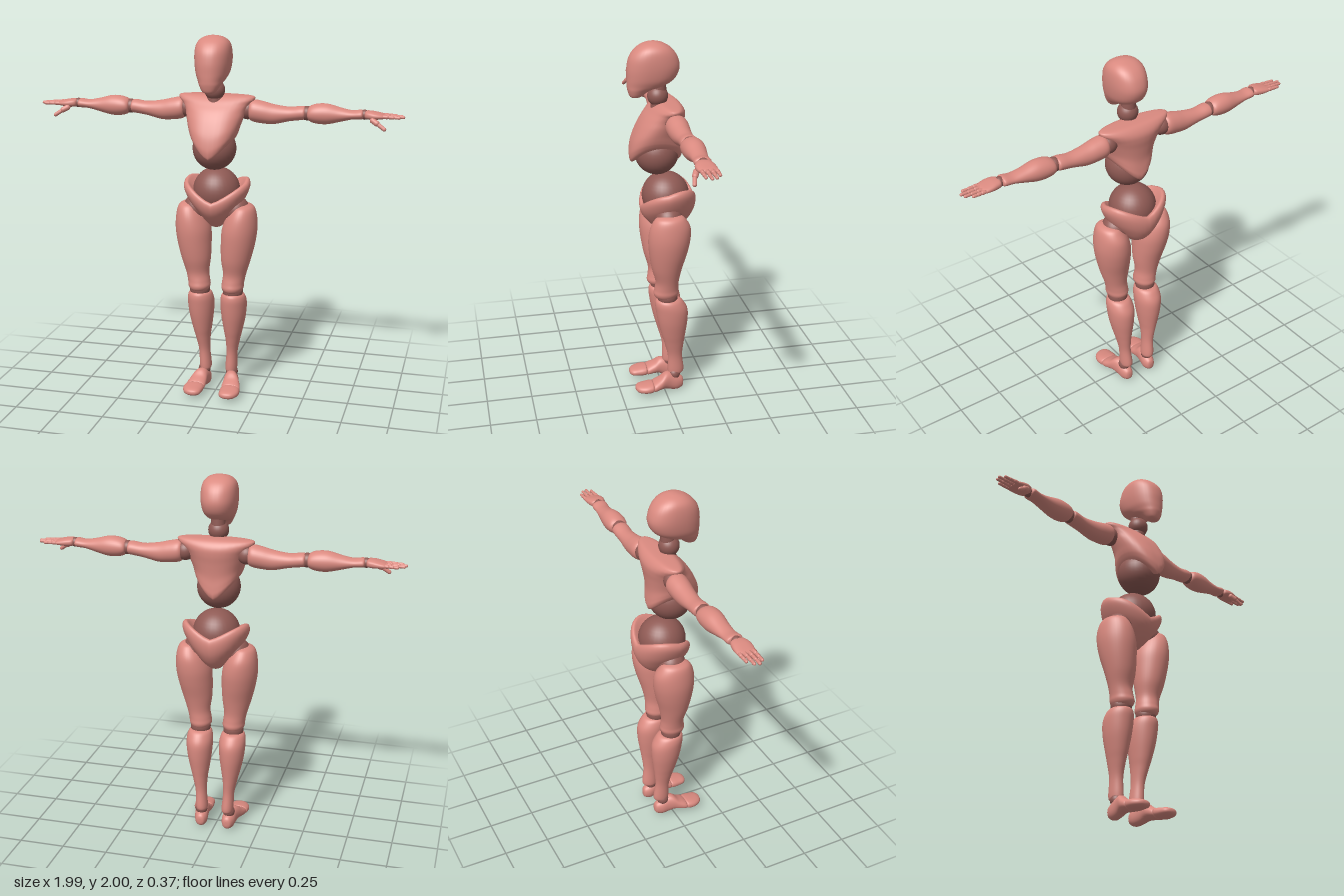
import * as THREE from 'three';

const skin = new THREE.MeshStandardMaterial({ color: 0xda8a80 });
skin.name = 'salmon shell';
const dark = new THREE.MeshStandardMaterial({ color: 0x8f5a54 });
dark.name = 'brown joint';

// Smooth closed loft. Each section: [position along axis, centre, half width, high side, low side]
// axis y: width in x, high/low in z; axis z: width in x, high/low in y; axis x: width in z, high/low in y
function loft(axis, sections, { power = 2, warp = null, steps = 5, sides = 36 } = {}) {
  const rows = [];
  const n = sections.length;
  const at = (i) => sections[Math.min(n - 1, Math.max(0, i))];
  for (let i = 0; i < n - 1; i++) {
    for (let s = 0; s < steps; s++) {
      const t = s / steps;
      rows.push(at(i).map((b, k) => {
        const a = at(i - 1)[k], c = at(i + 1)[k], d = at(i + 2)[k];
        return b + 0.5 * t * (c - a + t * (2 * a - 5 * b + 4 * c - d + t * (3 * (b - c) + d - a)));
      }));
    }
  }
  rows.push(at(n - 1));
  const pos = [], index = [];
  const put = (t, u, v) => {
    const p = axis === 'y' ? [u, t, v] : axis === 'z' ? [u, v, t] : [t, v, u];
    if (warp) warp(p);
    pos.push(...p);
  };
  const bend = (v) => Math.sign(v) * Math.abs(v) ** (2 / power);
  for (const [t, c, w, hi, lo] of rows) {
    for (let j = 0; j < sides; j++) {
      const a = (j / sides) * Math.PI * 2;
      put(t, c + w * bend(Math.cos(a)), (hi + lo) / 2 + ((hi - lo) / 2) * bend(Math.sin(a)));
    }
  }
  const tri = (a, b, c) => (axis === 'z' ? index.push(a, b, c) : index.push(a, c, b));
  for (let i = 0; i < rows.length - 1; i++) {
    for (let j = 0; j < sides; j++) {
      const k = (j + 1) % sides, a = i * sides;
      tri(a + j, a + k, a + sides + k);
      tri(a + j, a + sides + k, a + sides + j);
    }
  }
  // end caps
  const last = (rows.length - 1) * sides, first = rows.length * sides;
  for (const [t, c, , hi, lo] of [rows[0], rows[rows.length - 1]]) put(t, c, (hi + lo) / 2);
  for (let j = 0; j < sides; j++) {
    const k = (j + 1) % sides;
    tri(first, k, j);
    tri(first + 1, last + j, last + k);
  }
  const g = new THREE.BufferGeometry();
  g.setAttribute('position', new THREE.Float32BufferAttribute(pos, 3));
  g.setIndex(index);
  g.computeVertexNormals();
  return g;
}

const ball = (x, y, z, r, sy = 1) =>
  new THREE.SphereGeometry(r, 32, 20).scale(1, sy, 1).translate(x, y, z);

// Rounded finger segment between two points
function segment(a, b, r) {
  const d = b.clone().sub(a);
  const q = new THREE.Quaternion().setFromUnitVectors(new THREE.Vector3(0, 1, 0), d.clone().normalize());
  const m = a.clone().add(b).multiplyScalar(0.5);
  return new THREE.CapsuleGeometry(r, Math.max(0.002, d.length() - r * 1.2), 5, 12)
    .applyQuaternion(q).translate(m.x, m.y, m.z);
}

function mirrored(geometry) {
  const g = geometry.clone().scale(-1, 1, 1);
  const ix = g.index.array;
  for (let i = 0; i < ix.length; i += 3) [ix[i], ix[i + 1]] = [ix[i + 1], ix[i]];
  g.computeVertexNormals();
  return g;
}

export function createModel() {
  const model = new THREE.Group();
  model.name = 'jointedFigure';
  const add = (name, geometry, material = skin) => {
    const mesh = new THREE.Mesh(geometry, material);
    mesh.name = name;
    model.add(mesh);
  };
  const pair = (name, geometry, material = skin) => {
    add(name + 'Left', geometry, material);
    add(name + 'Right', mirrored(geometry), material);
  };

  // Head and neck
  add('head', loft('y', [
    [1.708, 0, 0.012, 0.155, 0.13], [1.718, 0, 0.035, 0.17, 0.105], [1.75, 0, 0.055, 0.181, 0.06],
    [1.775, 0, 0.07, 0.184, -0.02], [1.81, 0, 0.085, 0.185, -0.07], [1.865, 0, 0.094, 0.184, -0.092],
    [1.92, 0, 0.094, 0.172, -0.08], [1.96, 0, 0.085, 0.143, -0.052], [1.985, 0, 0.062, 0.107, -0.016],
    [1.997, 0, 0.03, 0.07, 0.02], [2.0, 0, 0.004, 0.049, 0.041]], { power: 2.25 }));
  add('neckBall', ball(0, 1.712, 0.022, 0.055), dark);
  add('neckPost', new THREE.CylinderGeometry(0.035, 0.045, 0.17, 24).translate(0, 1.725, 0.015), dark);

  // Chest shell, with its lower rim rising at the sides
  add('chest', loft('y', [
    [1.41, 0, 0.02, 0.05, 0.01], [1.365, 0, 0.085, 0.145, -0.075], [1.362, 0, 0.108, 0.167, -0.095],
    [1.385, 0, 0.122, 0.176, -0.105], [1.42, 0, 0.13, 0.176, -0.104], [1.48, 0, 0.14, 0.163, -0.1],
    [1.55, 0, 0.154, 0.133, -0.107], [1.6, 0, 0.165, 0.103, -0.115], [1.635, 0, 0.184, 0.073, -0.115],
    [1.662, 0, 0.206, 0.047, -0.102], [1.68, 0, 0.19, 0.02, -0.08], [1.684, 0, 0.06, -0.01, -0.05]], {
    power: 2.15,
    warp: (p) => {
      const t = Math.min(1, Math.max(0, (p[1] - 1.36) / 0.32));
      p[1] += 0.1 * (Math.abs(p[0]) / 0.11) ** 1.3 * (1 - t) ** 2.2;
    },
  }));
  add('upperBelly', ball(0, 1.402, 0.028, 0.117), dark);
  add('lowerBelly', ball(0, 1.162, -0.02, 0.128), dark);

  // Pelvis shell, with its upper rim rising at the sides and back
  add('pelvis', loft('y', [
    [0.957, 0, 0.008, -0.01, -0.03], [0.965, 0, 0.032, 0.02, -0.07], [1.0, 0, 0.066, 0.062, -0.125],
    [1.04, 0, 0.112, 0.098, -0.162], [1.07, 0, 0.157, 0.115, -0.178], [1.095, 0, 0.182, 0.12, -0.18],
    [1.112, 0, 0.167, 0.112, -0.168], [1.11, 0, 0.135, 0.09, -0.14], [1.07, 0, 0.02, 0, -0.04]], {
    power: 2.1,
    warp: (p) => {
      const t = Math.max(0, (p[1] - 0.957) / 0.155);
      p[1] += t * t * (0.095 * (Math.abs(p[0]) / 0.16) ** 1.2 + 0.05 * Math.max(0, -p[2]) / 0.17);
    },
  }));

  // Legs
  pair('hipBall', ball(0.108, 1.06, -0.015, 0.075), dark);
  pair('thigh', loft('y', [
    [0.592, 0.094, 0.02, 0.02, -0.03], [0.598, 0.094, 0.048, 0.052, -0.06], [0.62, 0.094, 0.061, 0.065, -0.074],
    [0.65, 0.097, 0.061, 0.06, -0.072], [0.7, 0.105, 0.064, 0.057, -0.072], [0.78, 0.112, 0.081, 0.079, -0.088],
    [0.87, 0.122, 0.093, 0.094, -0.113], [0.95, 0.13, 0.096, 0.1, -0.128], [1.02, 0.14, 0.083, 0.092, -0.126],
    [1.07, 0.148, 0.063, 0.07, -0.1], [1.09, 0.148, 0.04, 0.04, -0.075], [1.097, 0.148, 0.01, 0, -0.03]]));
  pair('kneeBall', ball(0.094, 0.595, -0.012, 0.056), dark);
  pair('shin', loft('y', [
    [0.1, 0.074, 0.012, -0.05, -0.08], [0.104, 0.074, 0.028, -0.025, -0.1], [0.13, 0.075, 0.033, -0.019, -0.11],
    [0.22, 0.08, 0.031, -0.018, -0.1], [0.3, 0.086, 0.041, 0.002, -0.107], [0.36, 0.089, 0.053, 0.02, -0.115],
    [0.44, 0.092, 0.067, 0.04, -0.125], [0.51, 0.093, 0.073, 0.052, -0.125], [0.555, 0.094, 0.069, 0.056, -0.105],
    [0.58, 0.094, 0.055, 0.046, -0.08], [0.586, 0.094, 0.02, 0.01, -0.04]]));
  pair('ankleBall', ball(0.08, 0.1, -0.055, 0.034), dark);
  pair('foot', loft('z', [
    [-0.108, 0.076, 0.008, 0.055, 0.03], [-0.1, 0.077, 0.024, 0.075, 0.012], [-0.07, 0.079, 0.036, 0.093, 0.0],
    [-0.03, 0.084, 0.038, 0.114, 0.006], [0.0, 0.09, 0.042, 0.113, 0.018], [0.03, 0.096, 0.049, 0.09, 0.02],
    [0.06, 0.1, 0.053, 0.075, 0.016], [0.072, 0.101, 0.046, 0.066, 0.02], [0.074, 0.101, 0.01, 0.045, 0.035]],
    { power: 2.2 }));
  pair('toes', loft('z', [
    [0.07, 0.102, 0.01, 0.045, 0.035], [0.073, 0.102, 0.047, 0.068, 0.018], [0.09, 0.103, 0.055, 0.07, 0.014],
    [0.12, 0.104, 0.054, 0.066, 0.015], [0.15, 0.1, 0.045, 0.06, 0.018], [0.167, 0.098, 0.027, 0.052, 0.026],
    [0.172, 0.097, 0.006, 0.042, 0.035]], { power: 2.3 }));

  // Arms
  pair('shoulderBall', ball(0.165, 1.605, -0.035, 0.052), dark);
  pair('upperArm', loft('x', [
    [0.172, -0.035, 0.015, 1.615, 1.585], [0.178, -0.035, 0.045, 1.648, 1.555], [0.2, -0.035, 0.059, 1.66, 1.542],
    [0.25, -0.035, 0.058, 1.652, 1.535], [0.31, -0.036, 0.052, 1.638, 1.534], [0.39, -0.038, 0.045, 1.628, 1.552],
    [0.45, -0.038, 0.047, 1.635, 1.561], [0.474, -0.038, 0.042, 1.632, 1.567], [0.48, -0.038, 0.012, 1.61, 1.59]]));
  pair('elbowBall', ball(0.484, 1.599, -0.036, 0.038), dark);
  pair('forearm', loft('x', [
    [0.488, -0.035, 0.012, 1.61, 1.59], [0.494, -0.035, 0.046, 1.634, 1.563], [0.53, -0.034, 0.057, 1.65, 1.548],
    [0.59, -0.034, 0.056, 1.653, 1.546], [0.66, -0.033, 0.046, 1.636, 1.562], [0.72, -0.03, 0.041, 1.625, 1.577],
    [0.765, -0.028, 0.043, 1.63, 1.58], [0.778, -0.028, 0.035, 1.624, 1.585], [0.782, -0.028, 0.01, 1.61, 1.6]]));
  pair('wristBall', ball(0.785, 1.605, -0.027, 0.026), dark);

  // Hands
  pair('palm', loft('x', [
    [0.786, -0.026, 0.01, 1.612, 1.598], [0.792, -0.026, 0.036, 1.626, 1.586], [0.82, -0.024, 0.047, 1.627, 1.582],
    [0.85, -0.025, 0.05, 1.622, 1.584], [0.88, -0.028, 0.046, 1.615, 1.588], [0.894, -0.029, 0.035, 1.608, 1.592],
    [0.896, -0.029, 0.01, 1.602, 1.598]], { power: 2.4 }));
  const fingers = [[0.006, 0.975], [-0.018, 0.995], [-0.042, 0.987], [-0.065, 0.955]];
  fingers.forEach(([z, tip], f) => {
    for (let k = 0; k < 3; k++) {
      const point = (t) => new THREE.Vector3(0.88 + (tip - 0.885) * t, 1.603 - 0.003 * t, z);
      pair(`finger${f + 1}Segment${k + 1}`, segment(point(k / 3), point((k + 1) / 3), 0.0105 - k * 0.0012));
    }
  });
  const thumb = [[0.825, 1.588, 0.015], [0.862, 1.567, 0.032], [0.9, 1.541, 0.042]].map((p) => new THREE.Vector3(...p));
  pair('thumbBase', segment(thumb[0], thumb[1], 0.015));
  pair('thumbTip', segment(thumb[1], thumb[2], 0.0105));

  return model;
}
